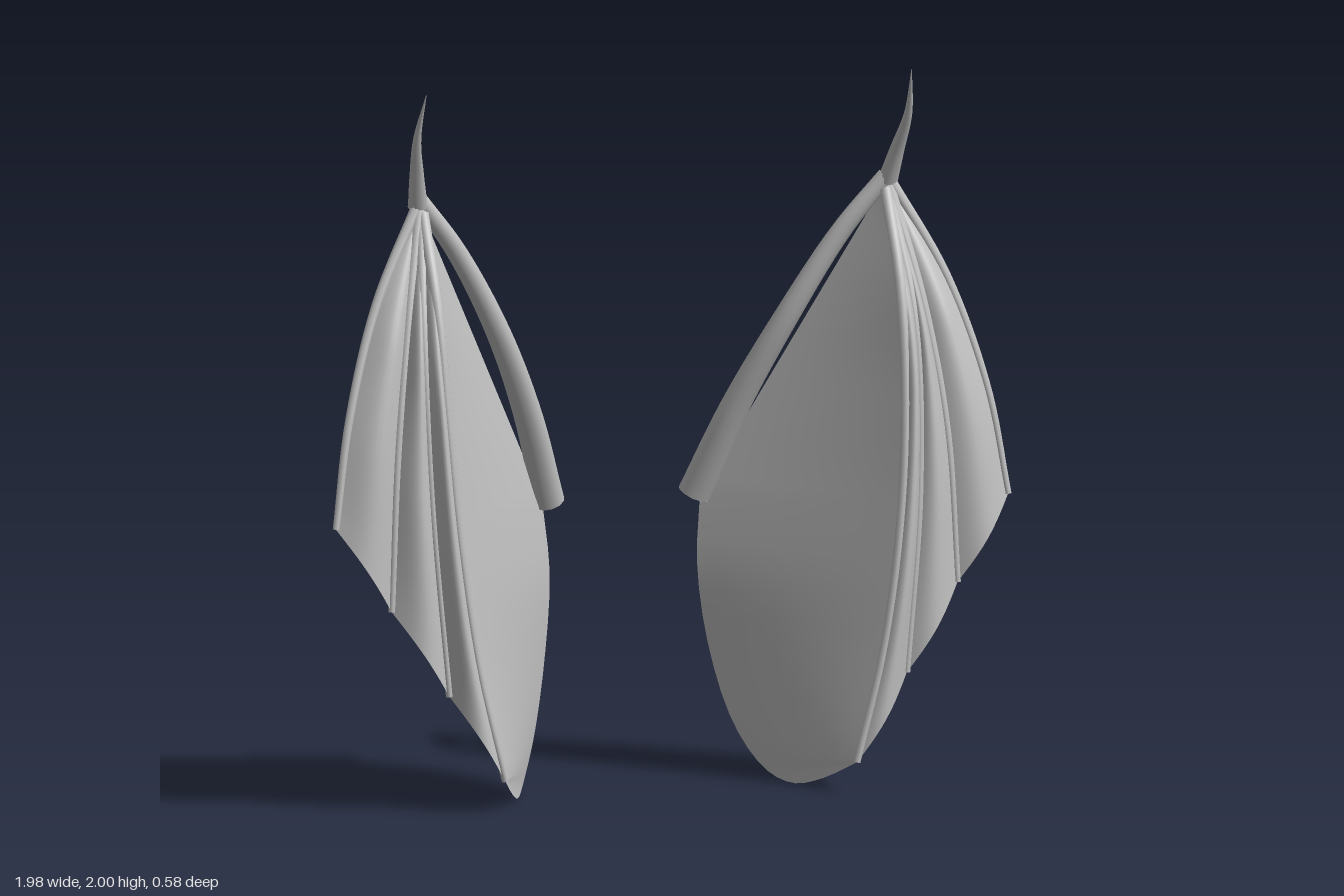
import * as THREE from 'three';
import { mergeVertices } from 'three/addons/utils/BufferGeometryUtils.js';

const grey = new THREE.MeshStandardMaterial({ color: 0xc0c0c0, side: THREE.DoubleSide });
grey.name = 'grey';

// Tapered round tube along a curve, with flat end caps
function taperedTube(name, curve, r0, r1, segments = 24, sides = 12) {
  const group = new THREE.Group();
  group.name = name;
  const geo = new THREE.TubeGeometry(curve, segments, 1, sides);
  const pos = geo.attributes.position, nor = geo.attributes.normal;
  for (let i = 0; i < pos.count; i++) {
    const t = Math.floor(i / (sides + 1)) / segments;
    const p = curve.getPointAt(t), r = r0 + (r1 - r0) * t;
    pos.setXYZ(i, p.x + r * nor.getX(i), p.y + r * nor.getY(i), p.z + r * nor.getZ(i));
  }
  group.add(new THREE.Mesh(geo, grey));
  [[0, r0, -1], [1, r1, 1]].forEach(([t, r, dir]) => {
    const cap = new THREE.Mesh(new THREE.CircleGeometry(r, sides), grey);
    cap.position.copy(curve.getPointAt(t));
    cap.quaternion.setFromUnitVectors(new THREE.Vector3(0, 0, 1), curve.getTangentAt(t).multiplyScalar(dir));
    group.add(cap);
  });
  return group;
}

// Thin smooth sheet from a rule (u, v) -> point
function sheet(name, nu, nv, rule) {
  const geo = new THREE.PlaneGeometry(1, 1, nu, nv);
  const pos = geo.attributes.position;
  for (let i = 0; i < pos.count; i++) {
    const p = rule((i % (nu + 1)) / nu, Math.floor(i / (nu + 1)) / nv);
    pos.setXYZ(i, p.x, p.y, p.z);
  }
  geo.deleteAttribute('uv');
  geo.deleteAttribute('normal');
  const merged = mergeVertices(geo, 1e-5);
  merged.computeVertexNormals();
  const mesh = new THREE.Mesh(merged, grey);
  mesh.name = name;
  return mesh;
}

// One wing; side = 1 for left (+x), -1 for right
function createWing(side) {
  const wing = new THREE.Group();
  wing.name = side > 0 ? 'leftWing' : 'rightWing';
  const vec = ([x, y, z]) => new THREE.Vector3(side * x, y, z);
  const path = (...pts) => new THREE.CatmullRomCurve3(pts.map(vec), false, 'centripetal');

  // Arm and wrist claw
  const arm = path([0.213, 0.78, -0.245], [0.30, 1.03, -0.155], [0.42, 1.29, -0.065], [0.56, 1.53, -0.01], [0.68, 1.685, 0.025]);
  wing.add(taperedTube('arm', arm, 0.046, 0.024));
  const claw = path([0.685, 1.67, 0.025], [0.70, 1.76, 0.06], [0.716, 1.87, 0.11], [0.708, 2.0, 0.163]);
  wing.add(taperedTube('claw', claw, 0.028, 0.001));

  // Finger bones, outermost first
  const fingers = [
    path([0.685, 1.68, 0.03], [0.83, 1.41, 0.095], [0.93, 1.1, 0.155], [0.98, 0.805, 0.19]),
    path([0.685, 1.66, 0.035], [0.75, 1.35, 0.13], [0.80, 1.0, 0.19], [0.825, 0.57, 0.212]),
    path([0.68, 1.655, 0.035], [0.715, 1.3, 0.17], [0.71, 0.85, 0.225], [0.667, 0.33, 0.242]),
    path([0.675, 1.65, 0.04], [0.675, 1.4, 0.165], [0.668, 1.1, 0.23], [0.642, 0.75, 0.262], [0.59, 0.4, 0.27], [0.513, 0.09, 0.268]),
  ];
  fingers.forEach((f, i) => wing.add(taperedTube('finger' + (i + 1), f, 0.017, 0.01, 24, 8)));

  // Billowed membranes between neighbouring fingers
  for (let i = 0; i < 3; i++) {
    wing.add(sheet('fingerMembrane' + (i + 1), 10, 24, (u, v) => {
      const p = fingers[i].getPoint(v).lerp(fingers[i + 1].getPoint(v), u);
      p.z += 0.038 * Math.sin(Math.PI * u) * Math.min(1, 2.5 * v);
      return p;
    }));
  }

  // Large inner membrane, from the innermost finger to the arm root and rounded trailing edge
  const apex = vec([0.67, 1.65, 0.02]), root = vec([0.23, 0.78, -0.245]);
  const inner = fingers[3];
  const trailing = path([0.23, 0.78, -0.245], [0.215, 0.58, -0.225], [0.24, 0.35, -0.195], [0.29, 0.15, -0.135],
    [0.35, 0.035, -0.05], [0.40, 0.005, 0.05], [0.45, 0.03, 0.15], [0.513, 0.09, 0.268]);
  const fingerAtHeight = (y) => {
    let a = 0, b = 1;
    for (let k = 0; k < 24; k++) {
      const m = (a + b) / 2;
      if (inner.getPoint(m).y > y) a = m; else b = m;
    }
    return inner.getPoint(a);
  };
  wing.add(sheet('innerMembrane', 10, 44, (u, v) => {
    const edge = v < 0.5 ? apex.clone().lerp(root, v * 2) : trailing.getPoint(v * 2 - 1);
    return edge.clone().lerp(fingerAtHeight(edge.y), u);
  }));

  // Rear membrane, from the arm to the outermost finger, with an arched free edge
  const arch = path([0.23, 0.78, -0.245], [0.34, 0.96, -0.175], [0.49, 1.16, -0.05], [0.59, 1.215, 0.02],
    [0.72, 1.23, 0.085], [0.86, 1.11, 0.14], [0.98, 0.805, 0.19]);
  const top = fingers[0].getPoint(0), tip = fingers[0].getPoint(1);
  wing.add(sheet('rearMembrane', 28, 16, (u, v) => {
    const start = apex.clone().lerp(top, u);
    const bend = fingers[0].getPoint(v).sub(top.clone().lerp(tip, v));
    return start.lerp(arch.getPoint(u), v).addScaledVector(bend, u * u);
  }));
  return wing;
}

export function createModel() {
  const model = new THREE.Group();
  model.name = 'wings';
  model.add(createWing(1), createWing(-1));
  return model;
}
